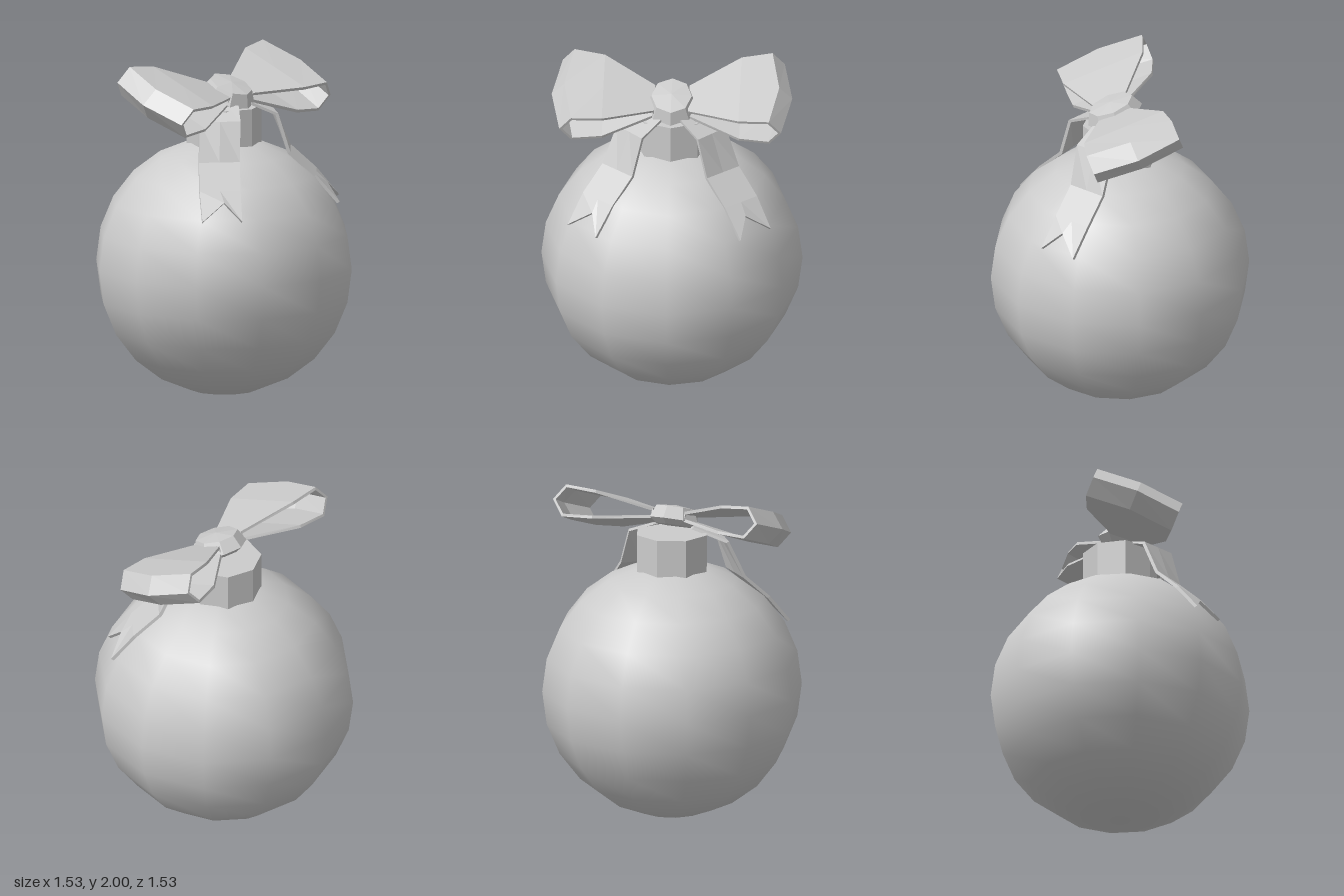
import * as THREE from 'three';

const flat = () => new THREE.MeshStandardMaterial({ color: 0xcccccc, flatShading: true, side: THREE.DoubleSide });

function named(name, geometry, material = flat()) {
  const mesh = new THREE.Mesh(geometry, material);
  mesh.name = name;
  return mesh;
}

// Skins six-point cross-sections; side = -1 mirrors the result across x.
function ribbon(sections, closed, side) {
  const rings = sections.map((s) => {
    const r = s.map((p) => new THREE.Vector3(p[0] * side, p[1], p[2]));
    return side < 0 ? r.reverse() : r;
  });
  const pos = [];
  const quad = (a, b, c, d) => [a, b, c, a, c, d].forEach((p) => pos.push(p.x, p.y, p.z));
  const n = rings.length;
  for (let i = 0; i < (closed ? n : n - 1); i++) {
    const p = rings[i], q = rings[(i + 1) % n];
    for (let j = 0; j < 6; j++) {
      const k = (j + 1) % 6;
      quad(p[j], q[j], q[k], p[k]);
    }
  }
  if (!closed) {
    const a = rings[0], b = rings[n - 1];
    quad(a[0], a[1], a[4], a[5]);
    quad(a[1], a[2], a[3], a[4]);
    quad(b[0], b[5], b[4], b[1]);
    quad(b[1], b[4], b[3], b[2]);
  }
  const g = new THREE.BufferGeometry();
  g.setAttribute('position', new THREE.Float32BufferAttribute(pos, 3));
  g.computeVertexNormals();
  return g;
}

// Loop outline: x, height, half width, centre depth, outward bulge of the middle row
const LOOP = [
  [0.1, 0.03, 0.1, 0.04, 0], [0.4, 0.085, 0.25, 0.01, 0], [0.58, 0.095, 0.27, 0, 0.05],
  [0.65, 0, 0.27, 0, 0.055],
  [0.58, -0.095, 0.27, 0, 0.05], [0.4, -0.085, 0.25, 0.01, 0], [0.1, -0.03, 0.1, 0.04, 0],
];

function bowLoop(side) {
  const t = 0.018, n = LOOP.length;
  const sections = LOOP.map(([x, y, w, c, bulge], i) => {
    const a = LOOP[(i + n - 1) % n], b = LOOP[(i + 1) % n];
    const d = new THREE.Vector2(b[0] - a[0], b[1] - a[1]).normalize();
    const xi = x + d.y * t, yi = y - d.x * t;
    return [
      [x, y, c + w], [x + bulge, y, c], [x, y, c - w],
      [xi, yi, c - w], [xi + bulge, yi, c], [xi, yi, c + w],
    ];
  });
  return ribbon(sections, true, side);
}

// Tail rows: inner edge, outer edge, optional notch point
const TAIL = [
  [[0.06, 1.745, 0.17], [0.13, 1.755, 0.02]],
  [[0.165, 1.68, 0.28], [0.32, 1.67, 0.1]],
  [[0.22, 1.45, 0.325], [0.4, 1.45, 0.165]],
  [[0.33, 1.31, 0.43], [0.51, 1.31, 0.27]],
  [[0.425, 1.15, 0.53], [0.595, 1.15, 0.37], [0.45, 1.25, 0.41]],
];

function tail(side) {
  const under = (p) => [p[0] - 0.01, p[1] - 0.01, p[2] - 0.013];
  const sections = TAIL.map(([a, b, notch]) => {
    const m = notch || a.map((v, k) => (v + b[k]) / 2);
    return [a, m, b, under(b), under(m), under(a)];
  });
  return ribbon(sections, false, side);
}

export function createModel() {
  const model = new THREE.Group();
  model.name = 'bauble';

  // Smooth ball
  const ball = named('ball', new THREE.SphereGeometry(0.765, 12, 12),
    new THREE.MeshStandardMaterial({ color: 0xcccccc }));
  ball.position.y = 0.768;
  model.add(ball);

  // Eight-sided cap on the ball
  const cap = named('cap', new THREE.CylinderGeometry(0.22, 0.22, 0.26, 8));
  cap.position.y = 1.59;
  model.add(cap);

  // Bow tilted down to the front
  const bow = new THREE.Group();
  bow.name = 'bow';
  bow.position.y = 1.815;
  bow.rotation.x = 0.36;
  model.add(bow);

  // Faceted knot
  const profile = [[0, -0.05], [0.12, -0.05], [0.17, -0.02], [0.135, 0.055], [0, 0.07]];
  const knot = named('knot', new THREE.LatheGeometry(profile.map((p) => new THREE.Vector2(...p)), 8));
  knot.scale.x = 0.88;
  knot.position.set(0, -0.003, 0.04);
  bow.add(knot);

  // Loops and hanging tails, mirrored
  for (const [side, label] of [[1, 'left'], [-1, 'right']]) {
    bow.add(named(label + 'Loop', bowLoop(side)));
    model.add(named(label + 'Tail', tail(side)));
  }
  return model;
}
